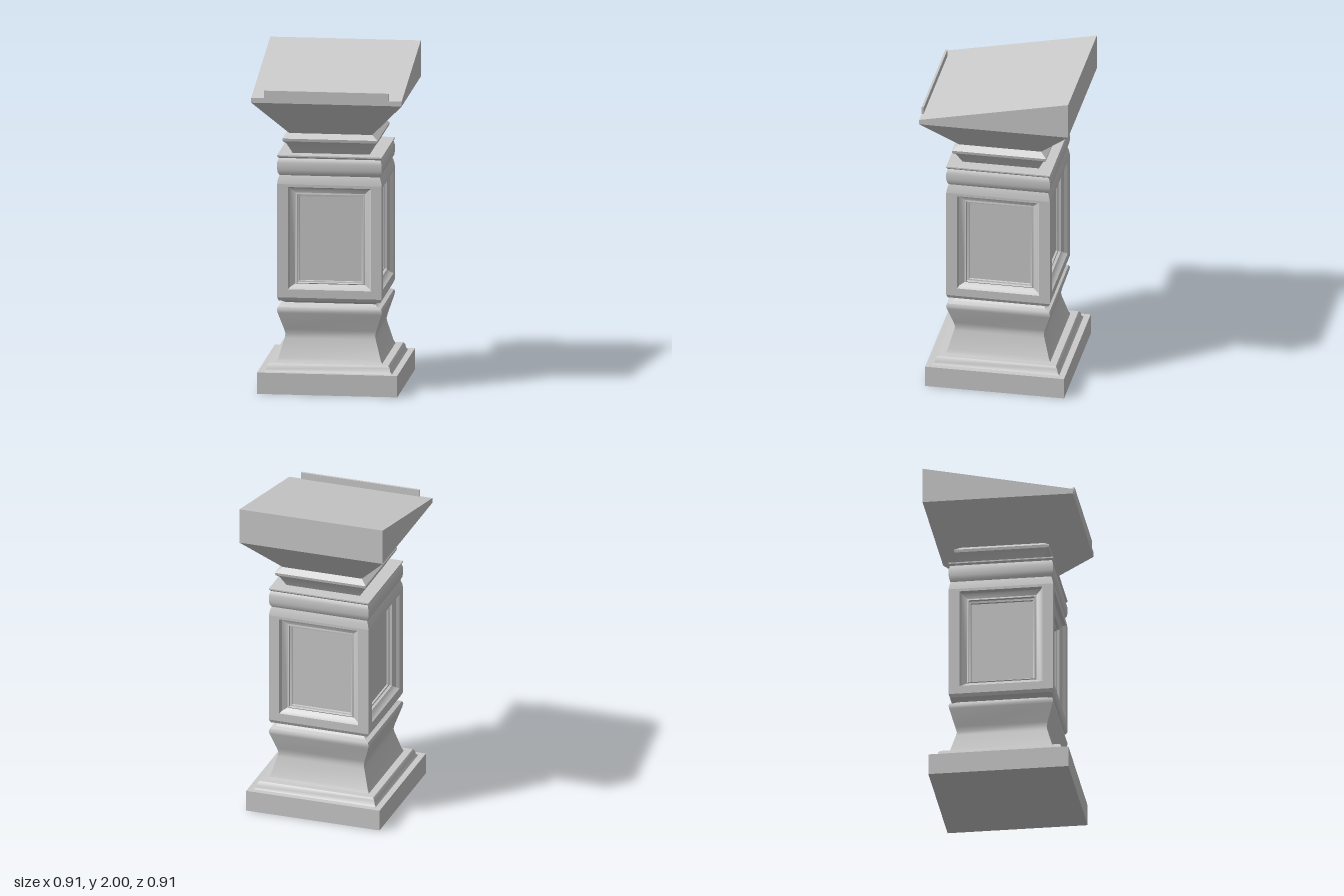
import * as THREE from 'three';
import { toCreasedNormals } from 'three/addons/utils/BufferGeometryUtils.js';

const material = new THREE.MeshStandardMaterial({ color: 0xcccccc });

// Skin a stack of rectangles [half width, v0, v1, w]; caps close the first and last ring.
function loft(rings, capStart, capEnd) {
  const pos = [], idx = [];
  for (const [u, v0, v1, w] of rings) pos.push(-u, v0, w, u, v0, w, u, v1, w, -u, v1, w);
  for (let r = 0; r < rings.length - 1; r++) {
    for (let i = 0; i < 4; i++) {
      const a = r * 4 + i, b = r * 4 + (i + 1) % 4;
      idx.push(a, b, b + 4, a, b + 4, a + 4);
    }
  }
  const n = (rings.length - 1) * 4;
  if (capStart) idx.push(0, 2, 1, 0, 3, 2);
  if (capEnd) idx.push(n, n + 1, n + 2, n, n + 2, n + 3);
  const geometry = new THREE.BufferGeometry();
  geometry.setAttribute('position', new THREE.Float32BufferAttribute(pos, 3));
  geometry.setIndex(idx);
  return geometry;
}

function addMesh(parent, name, geometry) {
  const mesh = new THREE.Mesh(toCreasedNormals(geometry, 0.6), material);
  mesh.name = name;
  parent.add(mesh);
  return mesh;
}

// Square moulding from a [half width, height] profile
function moulding(profile, capStart, capEnd) {
  return loft(profile.map(([r, y]) => [r, -r, r, y]), capStart, capEnd).rotateX(-Math.PI / 2);
}

export function createModel() {
  const group = new THREE.Group();

  // Plinth, stepped base and waisted foot
  addMesh(group, 'base', moulding([
    [0.422, 0], [0.422, 0.13], [0.385, 0.13], [0.374, 0.145], [0.37, 0.165], [0.36, 0.178],
    [0.318, 0.18], [0.308, 0.2], [0.275, 0.315], [0.27, 0.34], [0.277, 0.37], [0.312, 0.475],
    [0.316, 0.495], [0.31, 0.51], [0.285, 0.52], [0.27, 0.533], [0.285, 0.543],
    [0.306, 0.55], [0.315, 0.57],
  ], true, false));

  // Four sides of the shaft, each a framed recessed panel
  const half = 0.315;
  for (let i = 0; i < 4; i++) {
    const side = loft([
      [half, 0.57, 1.26, half],
      [0.25, 0.62, 1.243, half],
      [0.24, 0.63, 1.235, 0.295],
      [0.21, 0.65, 1.205, 0.28],
      [0.2, 0.655, 1.195, 0.283],
      [0.198, 0.658, 1.192, 0.268],
      [0.187, 0.665, 1.18, 0.266],
      [0.185, 0.667, 1.178, 0.255],
    ], false, true);
    addMesh(group, 'shaftPanel', side).rotation.y = i * Math.PI / 2;
  }

  // Mouldings above the shaft and the narrow collar
  addMesh(group, 'neck', moulding([
    [0.315, 1.26], [0.31, 1.29], [0.302, 1.313], [0.311, 1.33], [0.315, 1.35], [0.315, 1.39],
    [0.309, 1.412], [0.305, 1.418], [0.315, 1.428], [0.315, 1.436], [0.232, 1.436],
    [0.265, 1.5], [0.284, 1.515], [0.287, 1.532], [0.25, 1.56],
  ], false, false));

  // Flared head, its top plane tilted down to the front
  const head = moulding([[0.25, 1.56], [0.453, 1.78], [0.453, 1.9]], false, true);
  const p = head.attributes.position;
  for (let i = 0; i < p.count; i++) {
    if (p.getY(i) > 1.85) p.setY(i, 1.905 - p.getZ(i) * 0.21);
  }
  addMesh(group, 'slopedHead', head);

  // Thin ledge that stops a book from sliding off
  const ledge = addMesh(group, 'bookLedge', new THREE.BoxGeometry(0.75, 0.065, 0.013));
  ledge.position.set(0, 1.823, 0.447);

  return group;
}
